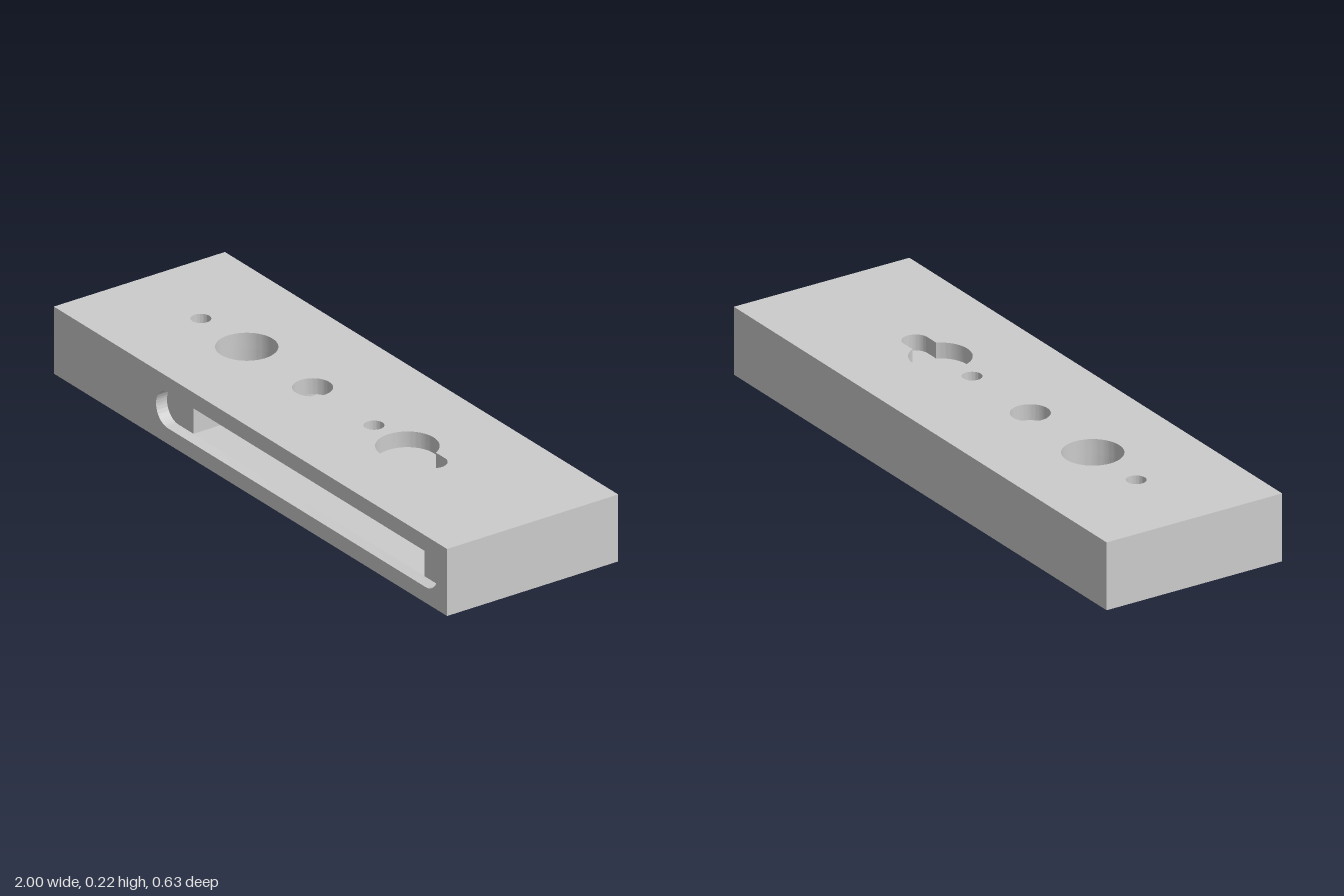
import * as THREE from 'three';
import { toCreasedNormals } from 'three/addons/utils/BufferGeometryUtils.js';

const HEIGHT = 0.222, HALF_DEPTH = 0.313, LIP = 0.04;
const SLOT = { left: -0.48, right: 0.95, bottom: 0.052, top: 0.17 };
const POCKET = { left: -0.345, right: 0.83, back: -0.26 };
const HOLE_Z = 0.005;
const INNER_FRONT = HALF_DEPTH - LIP;

function polygon(points) {
  return new THREE.Shape(points.map(([x, y]) => new THREE.Vector2(x, y)));
}

function roundHole(x, radius) {
  return new THREE.Path().absarc(x, -HOLE_Z, radius, 0, Math.PI * 2, true);
}

// Large circle with a narrow round-ended channel towards +x
function keyhole(x, radius, channel, end) {
  const a = Math.asin(channel / radius);
  const path = new THREE.Path();
  path.absarc(x, -HOLE_Z, radius, a, Math.PI * 2 - a, false);
  path.absarc(end - channel, -HOLE_Z, channel, -Math.PI / 2, Math.PI / 2, false);
  path.closePath();
  return path;
}

function extrude(shape, depth) {
  const geometry = new THREE.ExtrudeGeometry(shape, { depth, bevelEnabled: false, curveSegments: 32 });
  return toCreasedNormals(geometry, 0.6);
}

export function createModel() {
  const group = new THREE.Group();
  const material = new THREE.MeshStandardMaterial({ color: 0xcccccc });

  const add = (name, geometry) => {
    const mesh = new THREE.Mesh(geometry, material);
    mesh.name = name;
    group.add(mesh);
  };

  // Horizontal layer: shape y is -z, extruded upwards
  const addLayer = (name, shape, bottom, top) =>
    add(name, extrude(shape, top - bottom).rotateX(-Math.PI / 2).translate(0, bottom, 0));

  const solidHoles = () => [roundHole(-0.68, 0.031), roundHole(-0.447, 0.094)];
  const pocketHoles = () => [roundHole(-0.112, 0.061), roundHole(0.2, 0.031), keyhole(0.37, 0.096, 0.042, 0.545)];

  // Floor and roof plates, pierced by every hole
  for (const [name, bottom, top] of [['bottomPlate', 0, SLOT.bottom], ['topPlate', SLOT.top, HEIGHT]]) {
    const plate = polygon([[-1, -INNER_FRONT], [1, -INNER_FRONT], [1, HALF_DEPTH], [-1, HALF_DEPTH]]);
    plate.holes.push(...solidHoles(), ...pocketHoles());
    addLayer(name, plate, bottom, top);
  }

  // Middle layer wrapping the pocket, which opens to the front
  const middle = polygon([
    [-1, -INNER_FRONT], [POCKET.left, -INNER_FRONT], [POCKET.left, -POCKET.back],
    [POCKET.right, -POCKET.back], [POCKET.right, -INNER_FRONT], [1, -INNER_FRONT],
    [1, HALF_DEPTH], [-1, HALF_DEPTH],
  ]);
  middle.holes.push(...solidHoles());
  addLayer('pocketWalls', middle, SLOT.bottom, SLOT.top);

  // Front strip with the shallow round-ended slot
  const front = polygon([[-1, 0], [1, 0], [1, HEIGHT], [-1, HEIGHT]]);
  const radius = (SLOT.top - SLOT.bottom) / 2;
  const middleY = (SLOT.top + SLOT.bottom) / 2;
  const slot = new THREE.Path();
  slot.absarc(SLOT.right - radius, middleY, radius, -Math.PI / 2, Math.PI / 2, false);
  slot.absarc(SLOT.left + radius, middleY, radius, Math.PI / 2, Math.PI * 1.5, false);
  slot.closePath();
  front.holes.push(slot);
  add('slottedFront', extrude(front, LIP).translate(0, 0, INNER_FRONT));

  return group;
}
